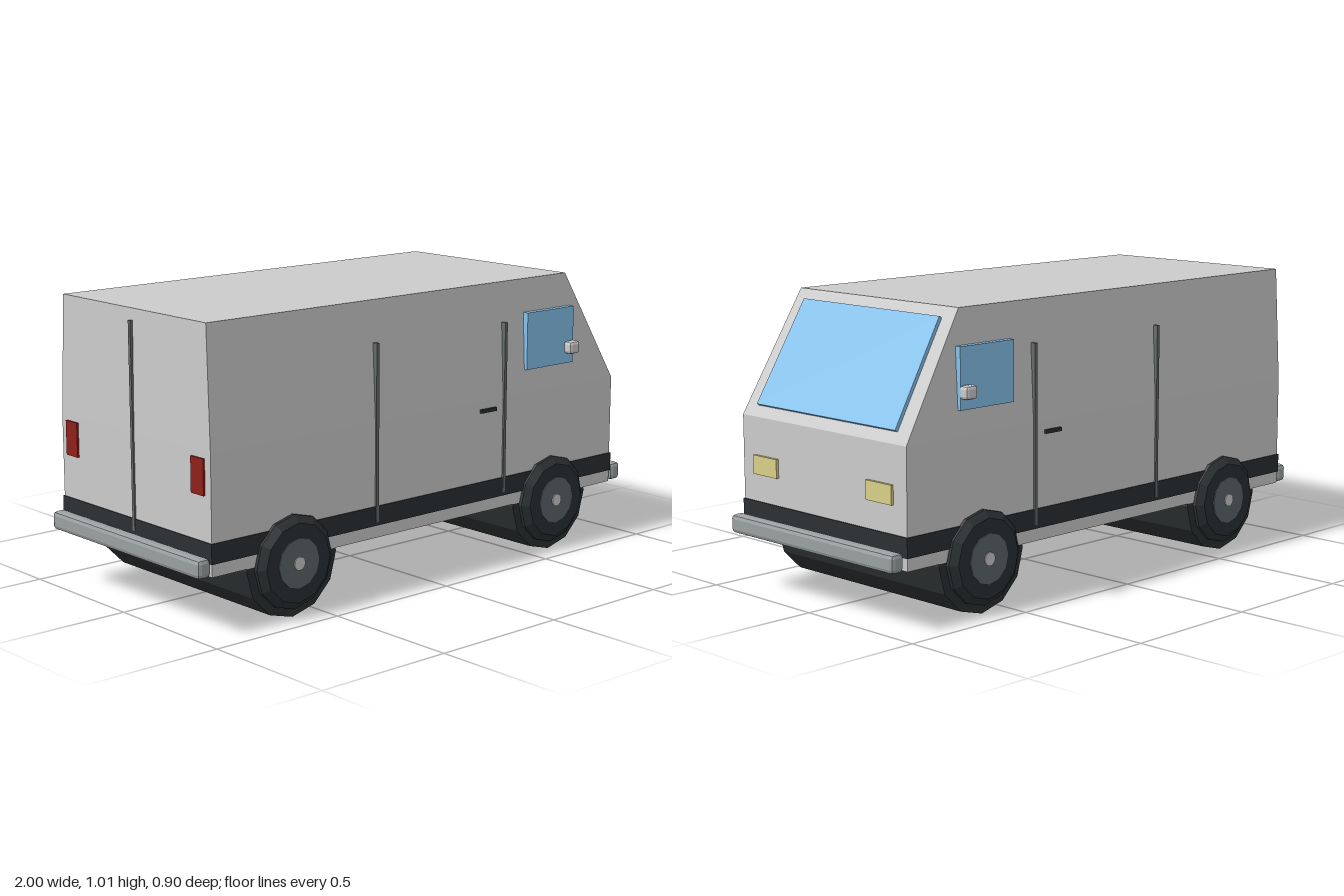
import * as THREE from 'three';
import { RoundedBoxGeometry } from 'three/addons/geometries/RoundedBoxGeometry.js';

const mat = (color) => new THREE.MeshStandardMaterial({ color, flatShading: true });

export function createModel() {
  const van = new THREE.Group();
  van.name = 'van';
  const grey = mat(0xcccccc), black = mat(0x2b3032), seam = mat(0x666a6a), chrome = mat(0x9aa0a0);
  const glass = mat(0x86c2ec), yellow = mat(0xd9d088), red = mat(0x8f2018), hubGrey = mat(0x5c6668);

  const add = (name, geometry, material, x = 0, y = 0, z = 0) => {
    const mesh = new THREE.Mesh(geometry, material);
    mesh.name = name;
    mesh.position.set(x, y, z);
    van.add(mesh);
    return mesh;
  };
  // Box given by its limits along each axis
  const box = (name, material, [x0, x1], [y0, y1], [z0, z1]) =>
    add(name, new THREE.BoxGeometry(x1 - x0, y1 - y0, z1 - z0), material,
      (x0 + x1) / 2, (y0 + y1) / 2, (z0 + z1) / 2);
  // Box on the left or right flank, given by its distances from the centre
  const sideBox = (name, material, xs, ys, [near, far], s) =>
    box(name, material, xs, ys, s > 0 ? [near, far] : [-far, -near]);

  // Body shell: rectangles stacked upwards as [y, half width, back x, front x]
  const levels = [
    [0.2, 0.41, -0.945, 0.935],
    [0.6, 0.41, -0.945, 0.935],
    [1.01, 0.39, -0.94, 0.69],
  ];
  const points = [], index = [];
  for (const [y, w, back, front] of levels) {
    points.push(back, y, w, front, y, w, front, y, -w, back, y, -w);
  }
  for (let l = 0; l < levels.length - 1; l++) {
    for (let i = 0; i < 4; i++) {
      const a = l * 4 + i, b = l * 4 + (i + 1) % 4;
      index.push(a, b, b + 4, a, b + 4, a + 4);
    }
  }
  index.push(0, 2, 1, 0, 3, 2, 8, 9, 10, 8, 10, 11);
  const shell = new THREE.BufferGeometry();
  shell.setAttribute('position', new THREE.Float32BufferAttribute(points, 3));
  shell.setIndex(index);
  const body = shell.toNonIndexed();
  body.computeVertexNormals();
  add('body', body, grey);

  // Dark trim band around the body
  box('trimBand', black, [-0.949, 0.939], [0.243, 0.31], [-0.414, 0.414]);

  // Windscreen: trapezoid leaning back on the sloped front
  const pane = new THREE.Shape([
    new THREE.Vector2(-0.347, 0), new THREE.Vector2(0.347, 0),
    new THREE.Vector2(0.336, 0.395), new THREE.Vector2(-0.336, 0.395),
  ]);
  const paneGeometry = new THREE.ExtrudeGeometry(pane, { depth: 0.015, bevelEnabled: false });
  paneGeometry.rotateY(Math.PI / 2);
  const windscreen = add('windscreen', paneGeometry, glass, 0.912, 0.634, 0);
  windscreen.rotation.z = Math.atan2(0.245, 0.41);

  // Wheels: full-width drum with a stepped tyre face, hub and cap at both ends
  const wheelProfile = [
    [0, -0.442], [0.135, -0.442], [0.16, -0.422], [0.16, -0.41], [0.19, -0.408],
    [0.19, 0.408], [0.16, 0.41], [0.16, 0.422], [0.135, 0.442], [0, 0.442],
  ].map(([r, h]) => new THREE.Vector2(r, h));
  for (const [label, x] of [['front', 0.61], ['rear', -0.615]]) {
    const drum = new THREE.LatheGeometry(wheelProfile, 12).rotateX(Math.PI / 2);
    add(label + 'Wheels', drum, black, x, 0.19, 0);
    for (const s of [-1, 1]) {
      const disc = (r, depth) => new THREE.CylinderGeometry(r, r, depth, 12).rotateX(Math.PI / 2);
      add(label + 'Hub', disc(0.085, 0.01), hubGrey, x, 0.19, s * 0.44);
      add(label + 'HubCap', disc(0.023, 0.012), grey, x, 0.19, s * 0.443);
    }
  }

  // Chamfered bumpers
  for (const s of [-1, 1]) {
    add(s > 0 ? 'frontBumper' : 'rearBumper',
      new RoundedBoxGeometry(0.052, 0.065, 0.82, 1, 0.015), chrome, s * 0.974, 0.232, 0);
  }

  // Parts mirrored on both sides
  for (const s of [-1, 1]) {
    sideBox('sideWindow', glass, [0.47, 0.71], [0.685, 0.89], [0.385, 0.418], s);
    for (const x of [-0.245, 0.365]) {
      sideBox('doorSeam', seam, [x - 0.006, x + 0.006], [0.255, 0.867], [0.385, 0.416], s);
    }
    sideBox('doorHandle', black, [0.245, 0.32], [0.559, 0.572], [0.4, 0.42], s);
    add('wingMirror', new RoundedBoxGeometry(0.052, 0.046, 0.036, 1, 0.011), grey, 0.688, 0.744, s * 0.433);
    sideBox('headlight', yellow, [0.925, 0.945], [0.405, 0.47], [0.225, 0.347], s);
    sideBox('tailLight', red, [-0.952, -0.93], [0.46, 0.58], [0.315, 0.38], s);
  }
  box('rearDoorSeam', seam, [-0.951, -0.93], [0.27, 0.97], [-0.006, 0.006]);

  return van;
}
